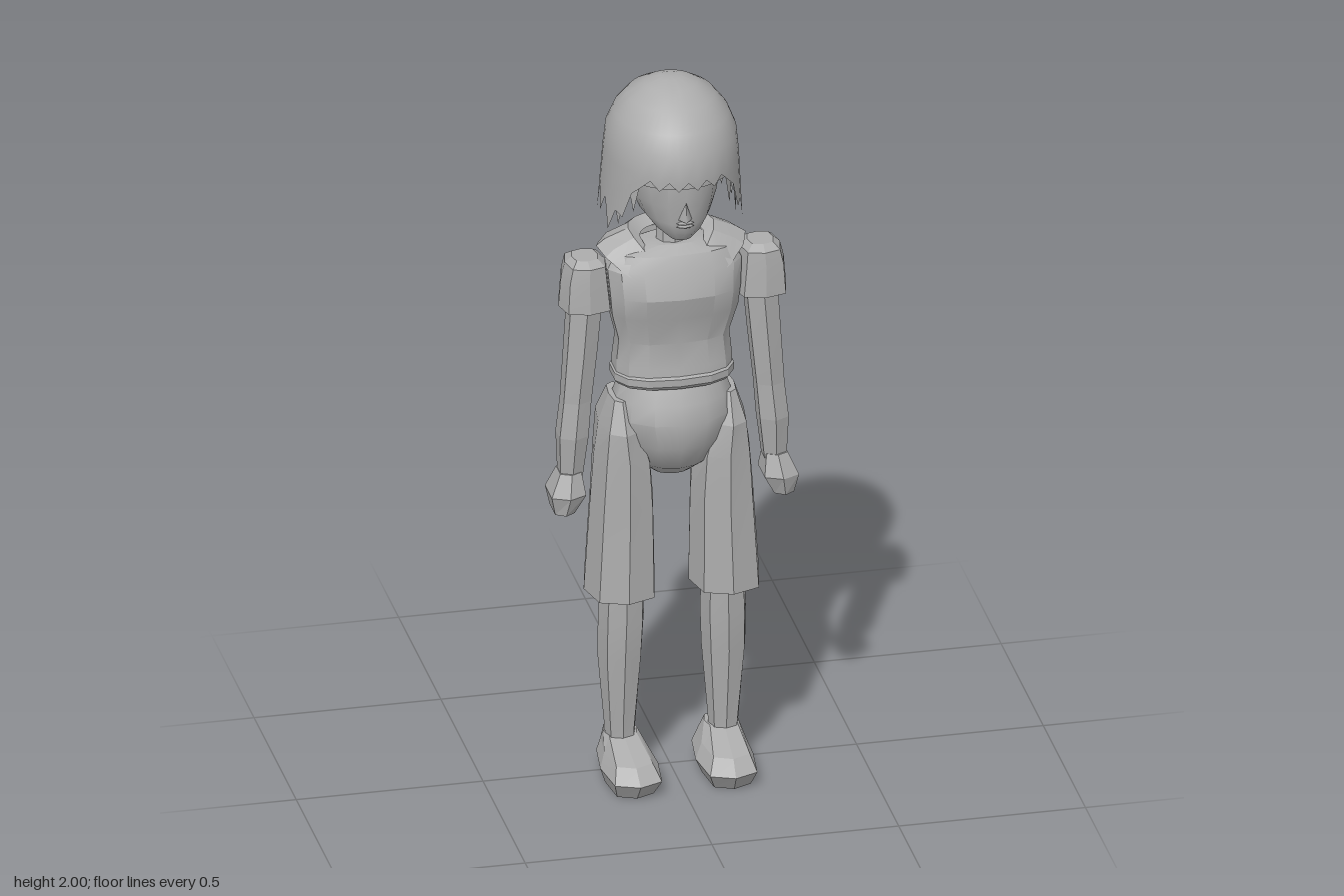
import * as THREE from 'three';
import { toCreasedNormals } from 'three/addons/utils/BufferGeometryUtils.js';

const grey = new THREE.MeshStandardMaterial({ color: 0xacacac, side: THREE.DoubleSide });
grey.name = 'plain grey';

// Skin closed rings of points, listed from bottom to top
function skin(rings, crease, capBottom = true, capTop = true) {
  const n = rings[0].length, pos = [], idx = [];
  rings.forEach(r => r.forEach(p => pos.push(...p)));
  for (let k = 0; k < rings.length - 1; k++) {
    for (let i = 0; i < n; i++) {
      const a = k * n + i, b = k * n + (i + 1) % n;
      idx.push(a, b, b + n, a, b + n, a + n);
    }
  }
  const cap = (k, up) => {
    const c = pos.length / 3, r = rings[k];
    pos.push(...[0, 1, 2].map(j => r.reduce((s, p) => s + p[j], 0) / n));
    for (let i = 0; i < n; i++) {
      const a = k * n + i, b = k * n + (i + 1) % n;
      idx.push(...(up ? [c, a, b] : [c, b, a]));
    }
  };
  if (capBottom) cap(0, false);
  if (capTop) cap(rings.length - 1, true);
  const g = new THREE.BufferGeometry();
  g.setAttribute('position', new THREE.Float32BufferAttribute(pos, 3));
  g.setIndex(idx);
  return toCreasedNormals(g, crease);
}

// Angle 0 faces the front, increasing towards +x
const ring = (n, f, offset = 0) => Array.from({ length: n }, (_, i) => {
  const a = (i + offset) / n * Math.PI * 2;
  return f(Math.sin(a), Math.cos(a), a, i);
});

// Low power makes a boxier section
const box = (v, power) => Math.sign(v) * Math.abs(v) ** power;

// Rows are [y, x0, x1, z0, z1]
function loft(rows, { n = 8, power = 0.8, crease = 0.35, offset = 0 } = {}) {
  return skin(rows.map(([y, x0, x1, z0, z1]) => ring(n, (s, c) => [
    (x0 + x1) / 2 + box(s, power) * (x1 - x0) / 2, y,
    (z0 + z1) / 2 + box(c, power) * (z1 - z0) / 2], offset)), crease);
}

// Rows are [y, half width, z0, z1]
const centred = (rows, opts) => loft(rows.map(([y, w, z0, z1]) => [y, -w, w, z0, z1]), opts);

export function createModel() {
  const model = new THREE.Group();
  const add = (name, geometry) => {
    const m = new THREE.Mesh(geometry, grey);
    m.name = name;
    model.add(m);
    return m;
  };
  const pair = (name, rows, opts) => {
    add('left' + name, loft(rows, opts));
    add('right' + name, loft(rows.map(([y, a, b, c, d]) => [y, -b, -a, c, d]), opts));
  };

  // Legs
  pair('Shoe', [[0, 0.07, 0.19, -0.04, 0.19], [0.045, 0.05, 0.205, -0.055, 0.222],
    [0.082, 0.07, 0.19, -0.05, 0.18], [0.118, 0.09, 0.18, -0.035, 0.05]], { power: 0.6, crease: 0.1 });
  pair('LowerLeg', [[0.08, 0.1, 0.175, -0.02, 0.06], [0.14, 0.097, 0.18, -0.022, 0.062],
    [0.35, 0.08, 0.198, -0.055, 0.09], [0.46, 0.075, 0.198, -0.045, 0.095],
    [0.62, 0.08, 0.19, -0.045, 0.095]], { crease: 0.2 });
  pair('ShortsLeg', [[0.54, 0.045, 0.235, -0.1, 0.14], [0.8, 0.05, 0.218, -0.09, 0.13],
    [0.93, 0.06, 0.208, -0.095, 0.13], [1.02, 0.09, 0.195, -0.1, 0.125],
    [1.1, 0.12, 0.168, -0.05, 0.08]], { power: 0.75, crease: 0.2 });

  // Body
  add('pelvis', centred([[0.87, 0.05, -0.02, 0.06], [0.91, 0.1, -0.08, 0.115], [0.98, 0.14, -0.11, 0.15],
    [1.05, 0.165, -0.115, 0.156], [1.1, 0.157, -0.1, 0.14], [1.16, 0.135, -0.07, 0.11]],
    { n: 14, power: 1, crease: 0.6 }));
  add('shirtHem', centred([[1.145, 0.155, -0.08, 0.125], [1.155, 0.163, -0.086, 0.132],
    [1.175, 0.163, -0.086, 0.132], [1.182, 0.15, -0.075, 0.12]], { n: 14 }));
  add('shirt', centred([[1.17, 0.158, -0.08, 0.125], [1.2, 0.158, -0.075, 0.12], [1.27, 0.151, -0.06, 0.11],
    [1.35, 0.172, -0.055, 0.13], [1.41, 0.178, -0.06, 0.142], [1.48, 0.183, -0.06, 0.122],
    [1.52, 0.16, -0.05, 0.1], [1.54, 0.08, -0.03, 0.07]], { n: 14, crease: 0.45 }));

  // Hood draped around the neck, dipping to a V in front
  const dip = c => Math.max(0, c) ** 2;
  add('hood', skin([
    ring(16, (s, c) => [0.13 * s, 1.49 - 0.07 * c * c, 0.02 + 0.075 * c]),
    ring(16, (s, c) => [0.2 * s, 1.53 - 0.1 * c * c, 0.012 + 0.122 * c]),
    ring(16, (s, c) => [0.175 * s, 1.545 - 0.085 * dip(c) - 0.035 * dip(-c), 0.006 + 0.118 * c]),
    ring(16, (s, c) => [0.115 * s, 1.572 - 0.09 * dip(c), 0.012 + 0.09 * c]),
    ring(16, (s, c) => [0.085 * s, 1.55 - 0.08 * dip(c), 0.025 + 0.07 * c])
  ], 0.4, false, false));

  // Arms
  pair('Sleeve', [[1.375, 0.165, 0.305, -0.045, 0.105], [1.46, 0.175, 0.298, -0.04, 0.1],
    [1.5, 0.18, 0.288, -0.035, 0.095], [1.515, 0.2, 0.27, -0.01, 0.07]], { power: 0.65, crease: 0.2 });
  pair('UpperArm', [[1.1, 0.217, 0.3, -0.014, 0.07], [1.24, 0.202, 0.291, -0.02, 0.075],
    [1.42, 0.185, 0.28, -0.02, 0.075]], { n: 6, crease: 0.1 });
  pair('Forearm', [[0.88, 0.24, 0.306, -0.01, 0.06], [1, 0.225, 0.311, -0.02, 0.075],
    [1.1, 0.217, 0.3, -0.014, 0.07]], { n: 6, crease: 0.1 });
  pair('Hand', [[0.782, 0.265, 0.322, -0.025, 0.075], [0.835, 0.235, 0.335, -0.037, 0.09],
    [0.895, 0.245, 0.307, -0.015, 0.065]], { n: 6, power: 0.6, crease: 0.1 });

  // Head and face
  add('neck', centred([[1.46, 0.06, -0.03, 0.075], [1.53, 0.042, -0.015, 0.06], [1.66, 0.04, -0.02, 0.06]],
    { power: 1, crease: 0.7 }));
  add('head', centred([[1.595, 0.03, 0.1, 0.16], [1.62, 0.065, 0, 0.178], [1.65, 0.092, -0.09, 0.186],
    [1.7, 0.113, -0.125, 0.187], [1.78, 0.125, -0.145, 0.2], [1.9, 0.11, -0.11, 0.155]],
    { n: 16, power: 1, crease: 0.6 }));
  const nose = add('nose', new THREE.ConeGeometry(0.018, 0.055, 4));
  nose.position.set(0, 1.692, 0.188);
  nose.rotation.x = 0.2;
  for (const [name, y] of [['upperLip', 1.655], ['lowerLip', 1.646]]) {
    const lip = add(name, new THREE.SphereGeometry(1, 8, 4));
    lip.scale.set(0.024, 0.005, 0.009);
    lip.position.set(0, y, 0.183);
  }

  // Bobbed hair: a dome above a ragged hem, short over the face
  const columns = 44;
  const hem = (a, i) => {
    const t = Math.abs(Math.atan2(Math.sin(a), Math.cos(a)));
    const tip = i % 2;
    if (t < 0.85) return tip ? 1.765 : 1.79;
    if (t < 1.05) return tip ? 1.66 : 1.74;
    const vary = 0.015 * Math.sin(t * 9);
    return (tip ? 1.615 : 1.68) + vary + (t > 2.75 ? 0.035 : 0);
  };
  const dome = [[1.8, 0.176, -0.203, 0.225], [1.86, 0.17, -0.19, 0.215], [1.91, 0.15, -0.16, 0.185],
    [1.955, 0.115, -0.115, 0.135], [1.985, 0.07, -0.06, 0.075], [1.998, 0.03, -0.025, 0.03]];
  const hair = (scale, shift, rise) => {
    const at = (s, c, y, w, z0, z1) =>
      [s * w * scale, y, ((z0 + z1) / 2 + c * (z1 - z0) / 2) * scale];
    const skirt = f => ring(columns, (s, c, a, i) => {
      const y = 1.8 + (hem(a, i + shift) + rise - 1.8) * f;
      const flare = (1.8 - y) / 0.2;
      return at(s, c, y, 0.176 + 0.012 * flare, -0.203 - 0.025 * flare, 0.225);
    });
    return skin([skirt(1), skirt(0.5),
      ...dome.map(([y, ...r]) => ring(columns, (s, c) => at(s, c, y - (1 - scale) * 0.5, ...r)))],
      0.5, false, true);
  };
  add('hairOuter', hair(1, 0, 0));
  add('hairInner', hair(0.93, 1, 0.02));

  // Two longer locks at the nape
  for (const side of [-1, 1]) {
    const lock = add(side > 0 ? 'leftNapeLock' : 'rightNapeLock', new THREE.ConeGeometry(0.035, 0.15, 4));
    lock.position.set(side * 0.055, 1.74, -0.207);
    lock.rotation.x = Math.PI + 0.2;
    lock.scale.z = 0.4;
  }
  return model;
}
